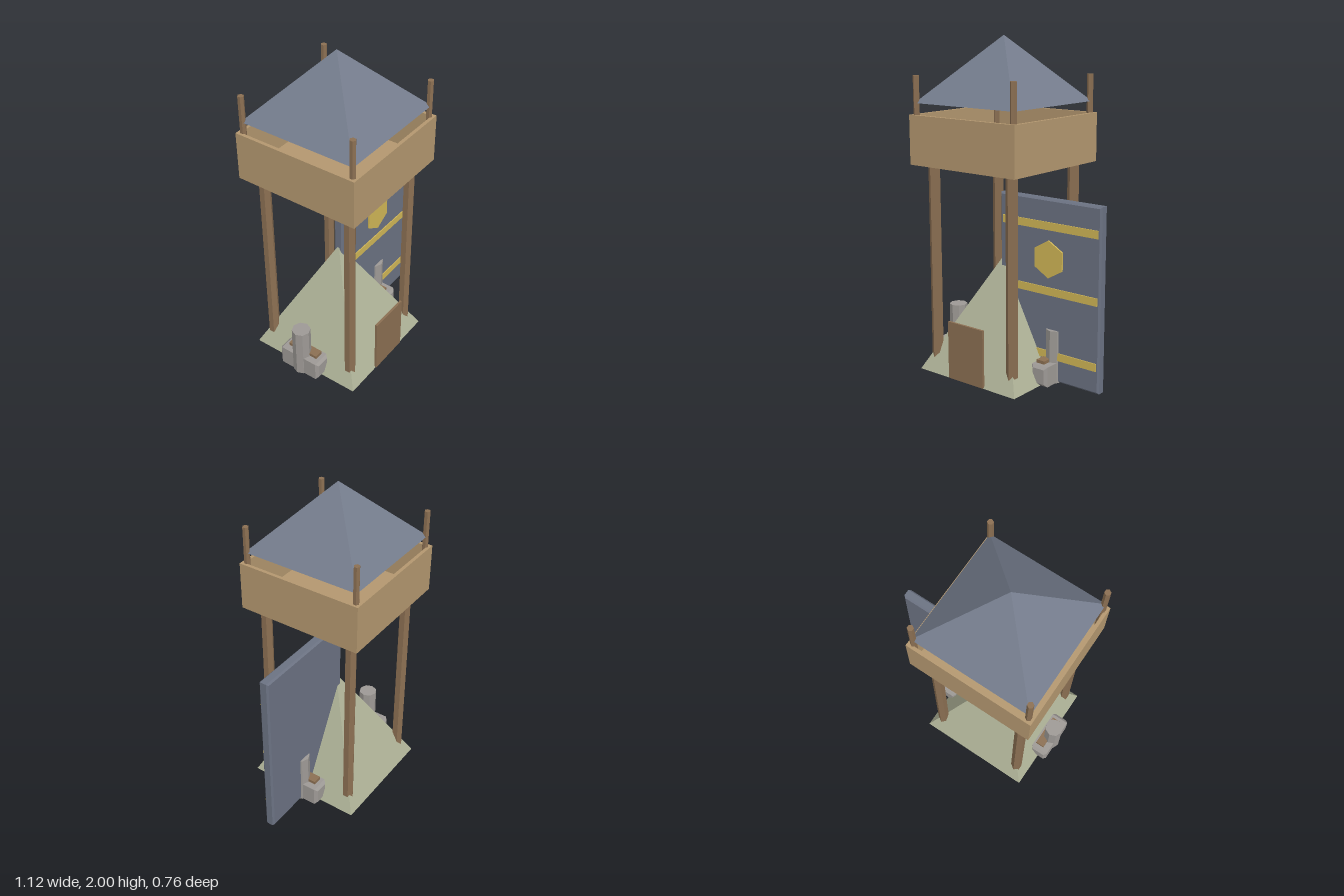
import * as THREE from 'three';

const mat = (name, color, flatShading = true) => {
  const m = new THREE.MeshStandardMaterial({ color, flatShading });
  m.name = name;
  return m;
};

export function createModel() {
  const root = new THREE.Group();
  root.name = 'watchtower';
  const slate = mat('roofSlate', 0x747c8c);
  const steel = mat('panelSteel', 0x6b7282);
  const gold = mat('gold', 0xd0b656);
  const plank = mat('plank', 0xb3976f);
  const timber = mat('timber', 0x8b6f52);
  const cloth = mat('canvas', 0xadb196);
  const stone = mat('stone', 0x9d9995);
  const paper = mat('parchment', 0xb8ad8c);

  const add = (parent, name, geo, material, x, y, z) => {
    const m = new THREE.Mesh(geo, material);
    m.name = name;
    m.position.set(x, y, z);
    parent.add(m);
    return m;
  };
  const box = (w, h, d) => new THREE.BoxGeometry(w, h, d);
  const cyl = (r, h, n) => new THREE.CylinderGeometry(r, r, h, n);
  const pyramid = (half, h) =>
    new THREE.ConeGeometry(half * Math.SQRT2, h, 4).rotateY(Math.PI / 4);
  // Box with every edge chamfered by b
  const chamferBox = (w, h, d, b) => {
    const x = w / 2 - b, y = h / 2 - b;
    const s = new THREE.Shape([[-x, -y], [x, -y], [x, y], [-x, y]]
      .map(([px, py]) => new THREE.Vector2(px, py)));
    return new THREE.ExtrudeGeometry(s, {
      depth: d - 2 * b, bevelEnabled: true, bevelSegments: 1,
      bevelSize: b, bevelThickness: b,
    }).translate(0, 0, -d / 2 + b);
  };

  // Tower, centred on its own axis
  const tower = new THREE.Group();
  tower.name = 'tower';
  tower.position.x = -0.133;
  root.add(tower);

  add(tower, 'roof', pyramid(0.358, 0.375), slate, 0, 1.8125, 0);
  add(tower, 'tent', pyramid(0.358, 0.693), cloth, 0, 0.3835, 0);

  // Open lookout platform
  add(tower, 'platformFloor', box(0.72, 0.03, 0.72), plank, 0, 1.29, 0);
  for (const s of [-1, 1]) {
    add(tower, 'platformWall', box(0.76, 0.285, 0.02), plank, 0, 1.4175, s * 0.37);
    add(tower, 'platformSideWall', box(0.02, 0.285, 0.72), plank, s * 0.37, 1.4175, 0);
  }

  // Legs and roof posts at the four corners
  for (const sx of [-1, 1]) {
    for (const sz of [-1, 1]) {
      add(tower, 'leg', cyl(0.034, 1.24, 6), timber, sx * 0.285, 0.66, sz * 0.285);
      add(tower, 'roofPost', cyl(0.018, 0.48, 6), timber, sx * 0.35, 1.54, sz * 0.35);
    }
  }

  add(tower, 'door', box(0.26, 0.345, 0.014), timber, 0.004, 0.2125, 0.357);

  // Stone blocks with a column on both sides
  for (const s of [-1, 1]) {
    add(tower, 'sideBlock', chamferBox(0.11, 0.12, 0.28, 0.016), stone, s * 0.357, 0.101, 0);
    add(tower, 'blockCap', box(0.055, 0.03, 0.2), timber, s * 0.343, 0.165, 0);
    add(tower, 'column', cyl(0.055, 0.313, 8), stone, s * 0.375, 0.1945, 0);
  }

  // Rolled scroll underneath
  add(tower, 'scroll', cyl(0.02, 0.22, 10).rotateZ(Math.PI / 2), paper, 0, 0.03, 0);
  for (const s of [-1, 1]) {
    add(tower, 'scrollEnd', cyl(0.03, 0.012, 10).rotateZ(Math.PI / 2), timber, s * 0.109, 0.03, 0);
  }
  add(tower, 'scrollSeal', new THREE.SphereGeometry(0.012, 8, 6), timber, 0, 0.025, 0.015);

  // Upright banded panel
  const panel = new THREE.Group();
  panel.name = 'bandedPanel';
  root.add(panel);
  add(panel, 'panelBody', chamferBox(0.7, 1.07, 0.06, 0.01), steel, 0.211, 0.575, 0);
  for (const y of [0.197, 0.577, 0.957]) {
    add(panel, 'goldBand', box(0.66, 0.046, 0.008), gold, 0.215, y, 0.032);
  }
  add(panel, 'goldBoss', cyl(0.11, 0.012, 6).rotateX(Math.PI / 2), gold, 0.215, 0.765, 0.034);
  return root;
}
